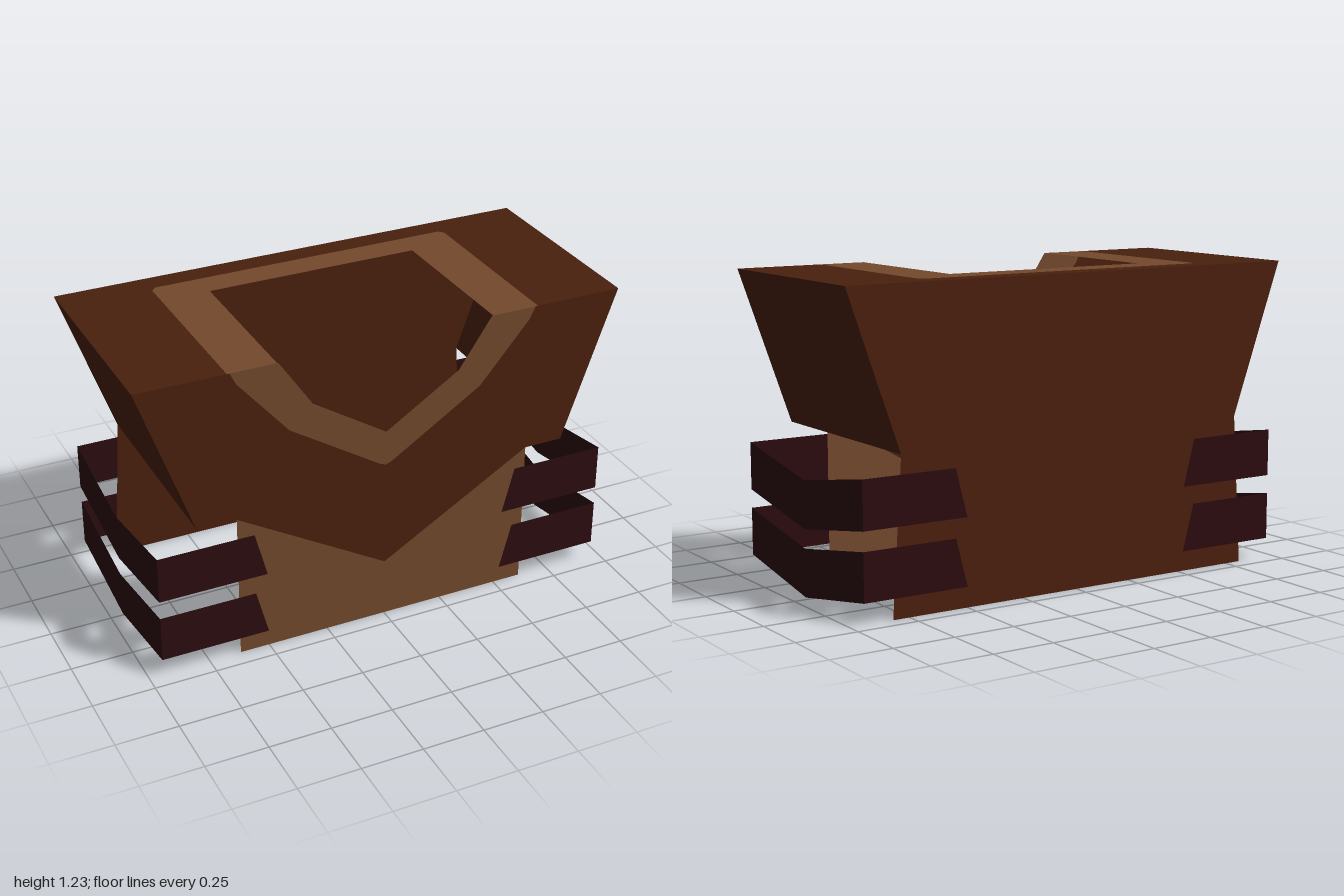
import * as THREE from 'three';

const FRONT = 0.43, BACK = -0.437, TOP = 1.23, HEM = 0.61;

const material = (name, color) =>
  new THREE.MeshStandardMaterial({ name, color, side: THREE.DoubleSide });

// Closes a right-hand outline with its mirror image across x = 0
const mirrored = (half) =>
  [...half, ...half.map(([x, y]) => [-x, y]).reverse()].filter(
    ([x, y], i, all) => i === 0 || x !== all[i - 1][0] || y !== all[i - 1][1]);

// Flat sheet cut from an outline
function sheet(name, points, mat) {
  const shape = new THREE.Shape(points.map(([x, y]) => new THREE.Vector2(x, y)));
  const mesh = new THREE.Mesh(new THREE.ShapeGeometry(shape), mat);
  mesh.name = name;
  return mesh;
}

// Ribbon of quads between a top and a bottom line of [x, y, z] points
function ribbon(name, upper, lower, mat) {
  const positions = [];
  for (let i = 0; i < upper.length - 1; i++) {
    const [a, b, c, d] = [upper[i], lower[i], lower[i + 1], upper[i + 1]];
    positions.push(...a, ...b, ...c, ...a, ...c, ...d);
  }
  const geometry = new THREE.BufferGeometry();
  geometry.setAttribute('position', new THREE.Float32BufferAttribute(positions, 3));
  geometry.computeVertexNormals();
  const mesh = new THREE.Mesh(geometry, mat);
  mesh.name = name;
  return mesh;
}

export function createModel() {
  const vest = new THREE.Group();
  vest.name = 'vest';
  const brown = material('brown leather', 0x4a200e);
  const tan = material('tan leather', 0x73492d);
  const maroon = material('dark strap leather', 0x2c0c10);

  // Neckline edges from the shoulder down to the centre
  const outerNeck = [[0.63, TOP], [0.605, 1.18], [0.4, 0.94], [0.025, 0.7], [0, 0.69]];
  const innerNeck = [[0.44, TOP], [0.305, 1.03], [0, 0.835]];

  // Front: brown chest, tan neck trim and tan lower panel
  const chest = sheet('chestPanel', mirrored([
    [0, 0.245], [0.62, HEM], [0.78, HEM], [1, TOP], ...outerNeck]), brown);
  const trim = sheet('frontNeckTrim', mirrored([
    ...[...outerNeck].reverse(), ...innerNeck]), tan);
  const belly = sheet('lowerFrontPanel', mirrored([
    [0, 0], [0.62, 0], [0.62, HEM], [0, 0.245]]), tan);
  for (const part of [chest, trim, belly]) {
    part.position.z = FRONT;
    vest.add(part);
  }

  // Back: one tall panel
  const back = sheet('backPanel', mirrored([
    [0, 0], [0.82, 0], [0.78, HEM], [1, TOP], [0, TOP]]), brown);
  back.position.z = BACK;
  vest.add(back);

  // Top: brown shoulders around a tan neck trim, drawn with -z as up
  const outerTop = [[0.64, -FRONT], [0.64, 0.325], [0.62, 0.345]];
  const shoulders = sheet('shoulders', mirrored([
    [1, -BACK], [1, -FRONT], ...outerTop]), brown);
  const topTrim = sheet('topNeckTrim', mirrored([
    ...[...outerTop].reverse(), [0.445, -FRONT], [0.44, 0.225]]), tan);
  for (const part of [shoulders, topTrim]) {
    part.rotation.x = -Math.PI / 2;
    part.position.y = TOP;
    vest.add(part);
  }

  for (const [side, s] of [['left', 1], ['right', -1]]) {
    // Sloping shoulder side above the open armhole
    vest.add(ribbon(side + 'ShoulderSide',
      [[s, TOP, FRONT], [s, TOP, BACK]],
      [[s * 0.78, HEM, FRONT], [s * 0.78, HEM, BACK]], brown));

    // Two straps wrapping the side, dipping in the middle
    [['upper', 0.35], ['lower', 0.085]].forEach(([level, y]) => {
      const line = (end, h, dip) => [
        [s * end, h, 0.455], [s * 0.95, h, 0.455], [s * 0.95, h - dip, 0],
        [s * 0.95, h, -0.455], [s * end, h, -0.455]];
      vest.add(ribbon(`${side}${level === 'upper' ? 'Upper' : 'Lower'}Strap`,
        line(0.56, y + 0.19, 0.077), line(0.51, y, 0.077), maroon));
    });
  }
  return vest;
}
